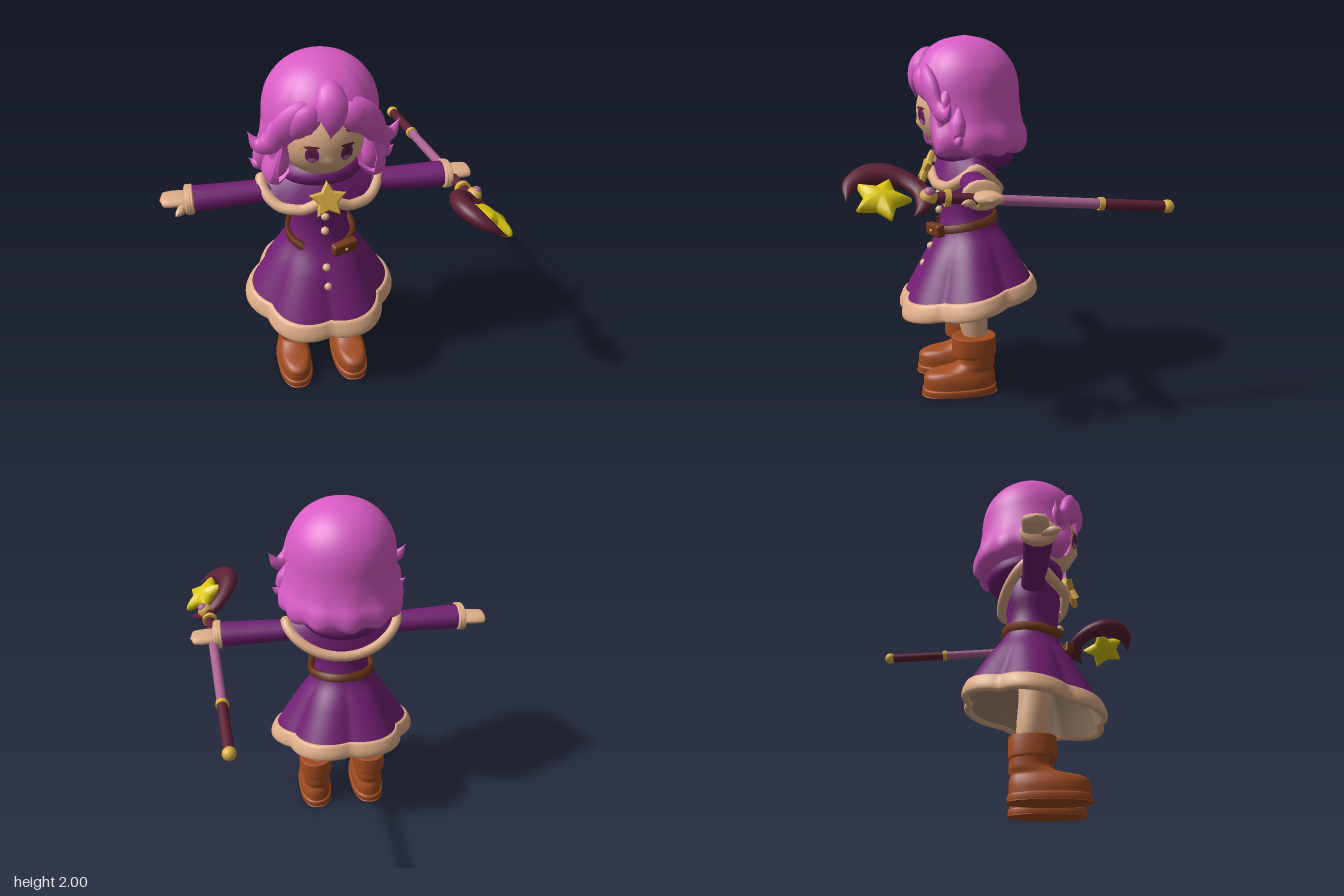
import * as THREE from 'three';
import { mergeVertices } from 'three/addons/utils/BufferGeometryUtils.js';
import { ParametricGeometry } from 'three/addons/geometries/ParametricGeometry.js';
import { RoundedBoxGeometry } from 'three/addons/geometries/RoundedBoxGeometry.js';

const paint = (name, color, side = THREE.FrontSide) =>
  Object.assign(new THREE.MeshStandardMaterial({ color, side }), { name });
const M = {
  hair: paint('hair pink', 0xd95cc5, THREE.DoubleSide),
  dress: paint('dress purple', 0x711f72, THREE.DoubleSide),
  skin: paint('skin and fur tan', 0xdfae88),
  lining: paint('lining taupe', 0x9c826c),
  boot: paint('boot brown', 0xa24c20),
  belt: paint('belt brown', 0x74391b, THREE.DoubleSide),
  gold: paint('gold', 0xd8ac44),
  yellow: paint('star yellow', 0xdcc70f),
  maroon: paint('maroon', 0x5c1f34),
  rod: paint('rod pink', 0xab6292),
};
const V = (x, y, z) => new THREE.Vector3(x, y, z);
const clamp = THREE.MathUtils.clamp;

function add(parent, name, geo, mat, x = 0, y = 0, z = 0) {
  const m = new THREE.Mesh(geo, mat);
  m.name = name;
  m.position.set(x, y, z);
  parent.add(m);
  return m;
}

// Weld seams and smooth the normals
function smooth(geo) {
  geo.deleteAttribute('uv');
  geo.deleteAttribute('normal');
  const g = mergeVertices(geo, 1e-5);
  g.computeVertexNormals();
  return g;
}

// Smooth interpolation through table rows, t in 0..1
function at(rows, t) {
  const n = rows.length, p = t * (n - 1), i = Math.min(Math.floor(p), n - 2), f = p - i;
  const a = rows[Math.max(i - 1, 0)], b = rows[i], c = rows[i + 1], d = rows[Math.min(i + 2, n - 1)];
  return b.map((_, k) => b[k] + 0.5 * f * (c[k] - a[k]
    + f * (2 * a[k] - 5 * b[k] + 4 * c[k] - d[k] + f * (3 * (b[k] - c[k]) + d[k] - a[k]))));
}

// Surface around the y axis; fn(angle, v, target), angle 0 = front, v runs upward
const around = (fn, nu, nv) => smooth(new ParametricGeometry((u, v, p) => fn((u % 1) * Math.PI * 2, v, p), nu, nv));

// Rings of [y, centre z, half width, half depth]
const loft = (rows, square = 1, nu = 28, nv = 40) => around((a, v, p) => {
  const [y, cz, rx, rz] = at(rows, v), s = Math.sin(a), c = Math.cos(a);
  p.set(rx * Math.sign(s) * Math.abs(s) ** square, y, cz + rz * Math.sign(c) * Math.abs(c) ** square);
}, nu, nv);

// Tapered tube, flattened along the axis n
function sweep(pts, radii, flat = 1, n = V(0, 1, 0), seg = 28, sides = 14) {
  const curve = new THREE.CatmullRomCurve3(pts.map(p => V(...p)));
  const g = new THREE.TubeGeometry(curve, seg, 1, sides), pos = g.attributes.position;
  const rows = radii.map(r => [r]), v = V(0, 0, 0);
  for (let i = 0; i <= seg; i++) {
    const c = curve.getPointAt(i / seg), r = Math.max(at(rows, i / seg)[0], 0.001);
    for (let j = 0; j <= sides; j++) {
      const k = i * (sides + 1) + j;
      v.fromBufferAttribute(pos, k).sub(c).multiplyScalar(r);
      v.addScaledVector(n, v.dot(n) * (flat - 1)).add(c);
      pos.setXYZ(k, v.x, v.y, v.z);
    }
  }
  return smooth(g);
}

// Flat star with soft edges, and a puffy pillow star
function star(R, depth, bevel) {
  const s = new THREE.Shape();
  for (let i = 0; i < 10; i++) {
    const r = (i % 2 ? 0.55 : 1) * R - bevel, a = i * Math.PI / 5;
    s[i ? 'lineTo' : 'moveTo'](r * Math.sin(a), r * Math.cos(a));
  }
  s.closePath();
  return new THREE.ExtrudeGeometry(s, { depth, bevelSize: bevel, bevelThickness: bevel, bevelSegments: 4 })
    .translate(0, 0, -depth / 2);
}
const puffyStar = (R, h) => around((a, v, p) => {
  const f = (v - 0.5) * Math.PI, q = 0.57, step = Math.PI / 5, b = Math.abs(a - 2 * step * Math.round(a / (2 * step)));
  const r = R * q * Math.sin(step) / (Math.sin(b) + q * Math.sin(step - b)) * Math.cos(f);
  p.set(r * Math.sin(a), h * Math.sin(f), r * Math.cos(a));
}, 80, 16).rotateX(-Math.PI / 2);

// Skirt rows: [y, radius, pleat], six rounded folds; the hem hangs lower in front
const pleated = (rows, nv) => around((a, v, p) => {
  const [y, r, k] = at(rows, v), f = 1 + k * (2 * Math.abs(Math.sin(3 * a)) - 1);
  p.set(r * f * Math.sin(a), y, 0.145 + 0.95 * r * f * Math.cos(a));
  p.y -= 0.17 * (p.z - 0.145) * clamp((1.2 - y) / 0.2, 0, 1);
}, 96, nv);

function buildDress(g) {
  add(g, 'dress', pleated([[0.585, 0.382, 0.06], [0.7, 0.318, 0.055], [0.82, 0.25, 0.035], [0.92, 0.184, 0.01],
    [1, 0.158, 0], [1.08, 0.153, 0], [1.18, 0.169, 0], [1.27, 0.165, 0], [1.33, 0.13, 0], [1.38, 0.08, 0]], 45), M.dress);
  add(g, 'skirtLining', pleated([[0.92, 0.14, 0], [0.8, 0.23, 0.03], [0.65, 0.315, 0.05], [0.53, 0.365, 0.06]], 18), M.lining);
  add(g, 'hemTrim', pleated([[0.53, 0.365, 0.06], [0.508, 0.385, 0.06], [0.515, 0.408, 0.06], [0.545, 0.41, 0.06],
    [0.58, 0.398, 0.06], [0.604, 0.383, 0.06], [0.606, 0.36, 0.06]], 24), M.skin);
  for (const [y, z] of [[1.13, 0.3], [1.035, 0.3], [0.825, 0.352], [0.725, 0.394]])
    add(g, 'button', new THREE.SphereGeometry(0.023, 16, 12), M.skin, 0, y, z);

  // Slanted belt, open in front, with a pouch
  const band = [[0.17, -0.022], [0.195, -0.022], [0.195, 0.022], [0.17, 0.022], [0.17, -0.022]];
  const belt = add(g, 'belt', new THREE.LatheGeometry(band.map(p => new THREE.Vector2(...p)), 48, 0.3,
    Math.PI * 2 - 1.0), M.belt, 0, 0.968, 0.16);
  belt.rotation.x = 0.17;
  const pouch = add(g, 'pouch', new RoundedBoxGeometry(0.15, 0.07, 0.05, 3, 0.014), M.belt, 0.1, 0.942, 0.335);
  pouch.rotation.set(0.1, 0.35, 0);
  add(pouch, 'pouchStud', new THREE.SphereGeometry(0.01, 10, 8), M.gold, 0, 0, 0.024);

  // Shoulder cape with two front lapels, its trim, the lowered hood and the clasp
  const hem = a => {
    const c = Math.cos(a), front = c > 0;
    const drop = front ? 0.105 * Math.min(1, 1.5 * c) - 0.06 * Math.max(0, 1 - Math.abs(Math.sin(a)) / 0.4)
      : 0.155 * (-c) ** 1.4;
    return V(0.316 * Math.sin(a), 1.306 - drop, 0.14 + (front ? 0.2 : 0.17) * c);
  };
  add(g, 'cape', around((a, v, p) => {
    const t = 1 - v, h = hem(a), neck = V(0.12 * Math.sin(a), 1.4, 0.13 + 0.12 * Math.cos(a));
    p.lerpVectors(neck, h, t);
    p.y = neck.y + (h.y - neck.y) * t ** 1.5;
  }, 64, 12), M.dress);
  const ring = Array.from({ length: 32 }, (_, i) => hem(i * Math.PI / 16));
  add(g, 'capeTrim', smooth(new THREE.TubeGeometry(new THREE.CatmullRomCurve3(ring, true), 96, 0.03, 10, true)), M.skin);
  const hood = add(g, 'hood', new THREE.TorusGeometry(0.155, 0.07, 16, 48), M.dress, 0, 1.36, 0.105);
  hood.rotation.x = Math.PI / 2 - 0.1;
  hood.scale.set(1.05, 1, 0.9);
  add(g, 'starClasp', star(0.097, 0.012, 0.012), M.gold, 0, 1.28, 0.37).rotation.x = -0.4;
}

function buildLimbs(g) {
  for (const s of [1, -1]) {
    add(g, 'sleeve', sweep([[0.1 * s, 1.25, 0.145], [0.3 * s, 1.243, 0.155], [0.5 * s, 1.24, 0.162], [0.7 * s, 1.24, 0.167]],
      [0.068, 0.068, 0.074, 0.08], 0.86), M.dress);
    add(g, 'cuff', sweep([[0.662 * s, 1.24, 0.168], [0.735 * s, 1.24, 0.168]],
      [0.001, 0.088, 0.096, 0.096, 0.086, 0.001], 0.76), M.skin);
    add(g, 'hand', sweep([[0.7 * s, 1.24, 0.155], [0.77 * s, 1.24, 0.15], [0.852 * s, 1.238, 0.148]],
      [0.066, 0.067, 0.069, 0.07, 0.07, 0.07, 0.069, 0.066, 0.056, 0.001], 0.42), M.skin);
    add(g, 'thumb', sweep([[0.72 * s, 1.225, 0.19], [0.745 * s, 1.218, 0.235], [0.775 * s, 1.213, 0.28]],
      [0.026, 0.024, 0.02, 0.001]), M.skin);
    add(g, 'leg', loft([[0.28, 0.115, 0.055, 0.06], [0.4, 0.13, 0.07, 0.08], [0.55, 0.15, 0.077, 0.088],
      [0.75, 0.15, 0.07, 0.085]]), M.skin, 0.147 * s);
    const boot = new THREE.Group();
    boot.name = 'boot';
    boot.position.x = 0.17 * s;
    g.add(boot);
    add(boot, 'bootSole', loft([[0.002, 0.215, 0.001, 0.001], [0, 0.215, 0.09, 0.2], [0.006, 0.215, 0.102, 0.212],
      [0.036, 0.215, 0.103, 0.213], [0.044, 0.215, 0.092, 0.2]], 0.8), M.boot);
    add(boot, 'bootUpper', loft([[0.03, 0.215, 0.096, 0.204], [0.08, 0.215, 0.098, 0.205], [0.112, 0.214, 0.092, 0.202],
      [0.134, 0.2, 0.084, 0.18], [0.148, 0.16, 0.08, 0.138], [0.17, 0.125, 0.08, 0.11], [0.2, 0.115, 0.08, 0.101],
      [0.26, 0.115, 0.084, 0.102]], 0.85), M.boot);
    add(boot, 'bootCuff', loft([[0.23, 0.13, 0.075, 0.09], [0.22, 0.132, 0.09, 0.115], [0.235, 0.132, 0.1, 0.125],
      [0.32, 0.132, 0.1, 0.124], [0.338, 0.132, 0.09, 0.115], [0.335, 0.13, 0.03, 0.04]], 0.85), M.boot);
  }
}

function buildHead(g) {
  // Oval head with a small raised nose
  const face = new THREE.SphereGeometry(1, 72, 56).scale(0.235, 0.24, 0.25), fp = face.attributes.position;
  for (let i = 0; i < fp.count; i++)
    if (fp.getZ(i) > 0) fp.setZ(i, fp.getZ(i) + 0.014 * Math.exp(-(fp.getX(i) ** 2 + (fp.getY(i) + 0.075) ** 2) / 0.0006));
  add(g, 'head', smooth(face), M.skin, 0, 1.6, 0.17);
  add(g, 'neck', new THREE.CylinderGeometry(0.07, 0.08, 0.16, 20), M.skin, 0, 1.36, 0.14);

  // Thin oval patches that follow the face
  const patch = (name, x, y, rx, ry, off, mat, tilt = 0) => {
    const geo = new THREE.RingGeometry(0, 1, 24, 4).scale(rx, ry, 1).rotateZ(tilt).translate(x, y, 0), p = geo.attributes.position;
    for (let i = 0; i < p.count; i++)
      p.setZ(i, 0.17 + off + 0.25 * Math.sqrt(1 - (p.getX(i) / 0.235) ** 2 - ((p.getY(i) - 1.6) / 0.24) ** 2));
    geo.computeVertexNormals();
    add(g, name, geo, mat);
  };
  for (const s of [1, -1]) {
    patch('iris', 0.087 * s, 1.568, 0.033, 0.047, 0.003, M.dress);
    patch('pupil', 0.087 * s, 1.58, 0.017, 0.026, 0.0045, M.maroon);
    patch('irisGlow', 0.087 * s, 1.54, 0.02, 0.014, 0.005, M.rod);
    patch('eyelash', 0.092 * s, 1.613, 0.04, 0.008, 0.006, M.maroon, -0.08 * s);
    patch('lashCorner', 0.135 * s, 1.603, 0.016, 0.008, 0.0065, M.gold, -0.5 * s);
    patch('eyebrow', 0.115 * s, 1.68, 0.034, 0.011, 0.003, M.dress, -0.2 * s);
  }

  // Hair mass, open over the face and scalloped at the bottom
  const rows = [[1.43, 0.2], [1.375, 0.27], [1.4, 0.335], [1.47, 0.345], [1.55, 0.318], [1.65, 0.302],
    [1.75, 0.295], [1.84, 0.268], [1.92, 0.208], [1.975, 0.12], [2, 0]];
  add(g, 'hair', around((a, v, p) => {
    const d = Math.min(a, Math.PI * 2 - a), s0 = 0.62 * (1 - THREE.MathUtils.smoothstep(d, 0.7, 1.02));
    const s = s0 + (1 - s0) * v, [y, r] = at(rows, s), wave = Math.cos(12 * a) * clamp(1 - 2 * s, 0, 1);
    const c = Math.cos(a), k = r * (1 + 0.045 * wave);
    p.set(k * Math.sin(a), y - 0.012 * wave, 0.15 + k * c);
  }, 96, 40), M.hair);
  const lock = (name, pts, radii, flat = 0.6) => add(g, name, sweep(pts, radii, flat, V(0, 0, 1)), M.hair);
  lock('centreBang', [[0, 1.93, 0.29], [0.005, 1.87, 0.375], [0.01, 1.77, 0.425], [0, 1.66, 0.42]],
    [0.01, 0.06, 0.08, 0.05, 0.001]);
  for (const s of [1, -1]) {
    lock('sideBang', [[0.05 * s, 1.86, 0.36], [0.13 * s, 1.79, 0.375], [0.205 * s, 1.7, 0.35], [0.27 * s, 1.61, 0.32],
      [0.335 * s, 1.595, 0.29], [0.385 * s, 1.665, 0.275]], [0.01, 0.065, 0.08, 0.06, 0.045, 0.001]);
    lock('innerBang', [[0.04 * s, 1.85, 0.37], [0.1 * s, 1.78, 0.4], [0.155 * s, 1.71, 0.385], [0.205 * s, 1.63, 0.35]],
      [0.01, 0.065, 0.055, 0.001]);
    lock('cheekLock', [[0.245 * s, 1.74, 0.27], [0.245 * s, 1.6, 0.3], [0.235 * s, 1.49, 0.305], [0.255 * s, 1.42, 0.295],
      [0.3 * s, 1.41, 0.28]], [0.01, 0.055, 0.05, 0.045, 0.001], 0.75);
    lock('outerCurl', [[0.28 * s, 1.62, 0.22], [0.3 * s, 1.51, 0.23], [0.335 * s, 1.455, 0.23], [0.38 * s, 1.485, 0.22]],
      [0.02, 0.055, 0.045, 0.001], 0.8);
  }
}

function buildStaff(root) {
  const A = V(0.655, 1.148, -0.78), dir = V(0.075, 0.097, 1.18).normalize();
  const staff = new THREE.Group();
  staff.name = 'staff';
  staff.position.copy(A);
  staff.quaternion.setFromUnitVectors(V(0, 1, 0), dir);
  root.add(staff);
  const rod = (name, from, to, r, mat) =>
    add(staff, name, new THREE.CylinderGeometry(r, r, to - from, 20), mat, 0, (from + to) / 2, 0);
  add(staff, 'pommel', new THREE.SphereGeometry(0.035, 20, 14), M.gold);
  rod('lowerGrip', 0, 0.355, 0.027, M.maroon);
  rod('shaft', 0.355, 0.96, 0.026, M.rod);
  rod('upperGrip', 0.96, 1.24, 0.027, M.maroon);
  for (const [y, r] of [[0.358, 0.033], [0.965, 0.036], [1.125, 0.042]]) rod('goldRing', y - 0.013, y + 0.013, r, M.gold);

  // Crescent head, lying in a slanted plane, with a star inside
  const u = V(0.85, -0.53, 0).normalize(), n = V(0, 0, 0).crossVectors(u, dir).normalize(), w = V(0, 0, 0).crossVectors(n, u);
  const head = new THREE.Group();
  head.name = 'staffHead';
  head.position.set(0.755, 1.25, 0.645);
  head.quaternion.setFromRotationMatrix(new THREE.Matrix4().makeBasis(u, w, n));
  root.add(head);
  add(head, 'crescent', sweep([[0.03, 0.16, 0], [-0.09, 0.135, 0], [-0.17, 0.03, 0], [-0.15, -0.1, 0], [-0.06, -0.19, 0],
    [0.03, -0.195, 0], [0.11, -0.14, 0]], [0.001, 0.035, 0.058, 0.062, 0.05, 0.045, 0.04, 0.001], 0.75, V(0, 0, 1), 40), M.maroon);
  add(head, 'staffStar', puffyStar(0.142, 0.045), M.yellow).rotation.z = Math.PI;
  add(head, 'gemSetting', new THREE.SphereGeometry(0.042, 20, 14), M.gold, -0.005, -0.215, -0.024);
  add(head, 'gem', new THREE.SphereGeometry(0.028, 16, 12), M.rod, -0.005, -0.215, -0.048);
}

export function createModel() {
  const root = new THREE.Group(), body = new THREE.Group();
  root.name = 'girlWithStaff';
  body.name = 'girl';
  body.position.x = -0.015;
  root.add(body);
  buildDress(body);
  buildLimbs(body);
  buildHead(body);
  buildStaff(root);
  return root;
}
